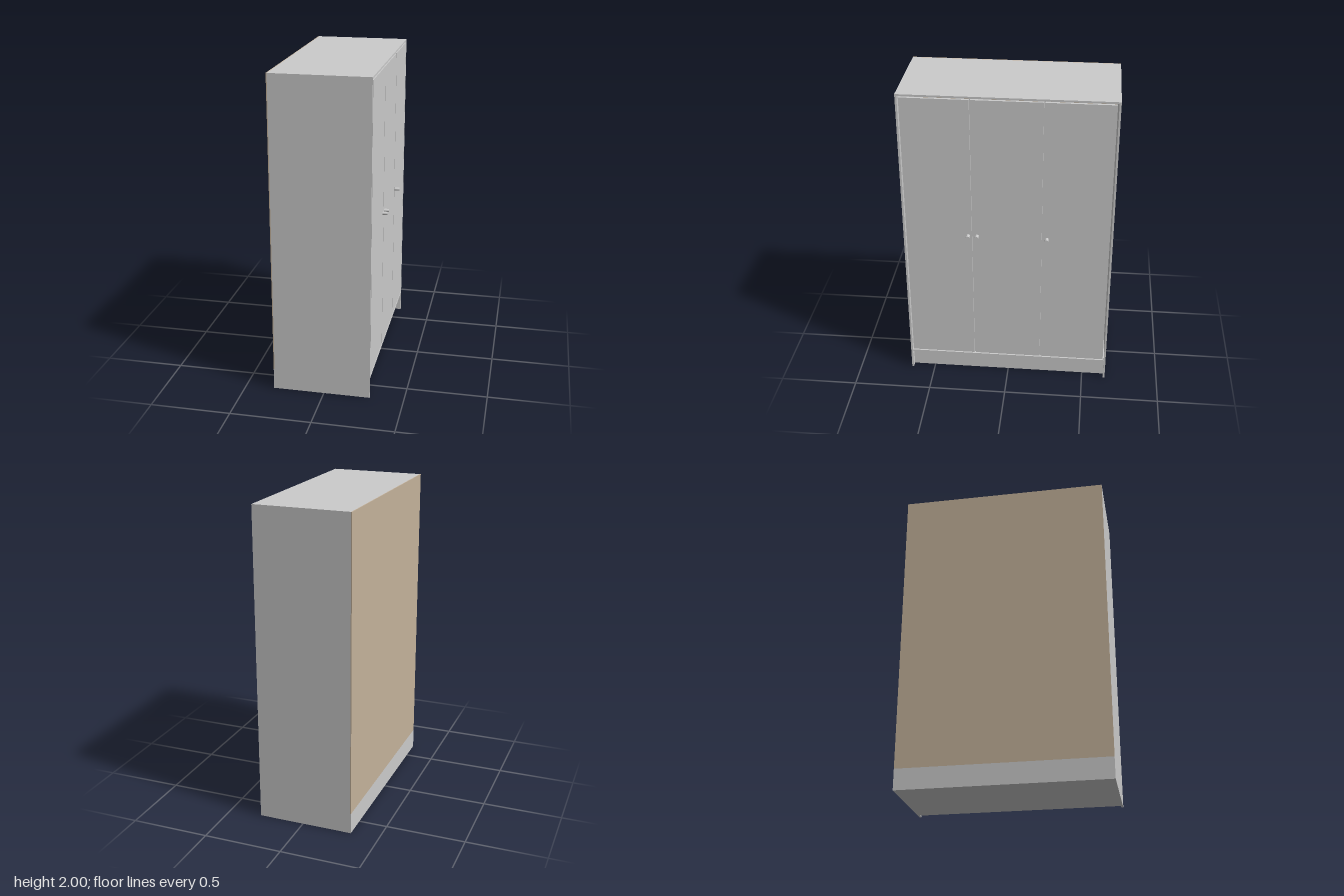
import * as THREE from 'three';

export function createModel() {
  const wardrobe = new THREE.Group();
  wardrobe.name = 'wardrobe';
  const grey = new THREE.MeshStandardMaterial({ color: 0xcccccc });
  const brown = new THREE.MeshStandardMaterial({ color: 0xc4b29b });

  // Overall extents; the doors face +x
  const back = -0.32, front = 0.29, half = 0.655, height = 2;
  const t = 0.012, gap = 0.008, backT = 0.006;

  // Box given by its lower and upper limits on each axis
  function panel(name, [x0, x1], [y0, y1], [z0, z1], material = grey) {
    const mesh = new THREE.Mesh(new THREE.BoxGeometry(x1 - x0, y1 - y0, z1 - z0), material);
    mesh.position.set((x0 + x1) / 2, (y0 + y1) / 2, (z0 + z1) / 2);
    mesh.name = name;
    wardrobe.add(mesh);
  }

  // Carcass
  const inner = half - t, body = back + backT, floorY = 0.133, floorTop = 0.145;
  panel('leftSide', [body, front], [0, height], [-half, -inner]);
  panel('rightSide', [body, front], [0, height], [inner, half]);
  panel('top', [body, front], [height - t, height], [-inner, inner]);
  panel('floor', [body, front], [floorY, floorTop], [-inner, inner]);
  panel('plinth', [body, front - 0.04], [0, floorY], [-inner, inner]);
  panel('plinthBack', [back, body], [0, floorY], [-half, half]);
  panel('backPanel', [back, body], [floorY, height], [-half, half], brown);

  // Upright dividers behind the door seams
  const doorT = 0.016, seam = 0.218;
  for (const z of [-seam, seam])
    panel('divider', [body, front - doorT - 0.004], [floorTop, height - t], [z - t / 2, z + t / 2]);

  // Three inset doors, flush with the carcass front
  const edge = inner - gap;
  for (const [z0, z1] of [[-edge, -seam - gap / 2], [-seam + gap / 2, seam - gap / 2], [seam + gap / 2, edge]])
    panel('door', [front - doorT, front], [floorTop + gap, height - t - gap], [z0, z1]);

  // Slightly oval knobs
  const knobGeometry = new THREE.CylinderGeometry(0.012, 0.012, 0.032, 24);
  knobGeometry.rotateZ(-Math.PI / 2);
  knobGeometry.scale(1, 0.85, 1);
  for (const z of [0.246, 0.19, -0.246]) {
    const knob = new THREE.Mesh(knobGeometry, grey);
    knob.name = 'knob';
    knob.position.set(front + 0.015, 1.067, z);
    wardrobe.add(knob);
  }
  return wardrobe;
}
